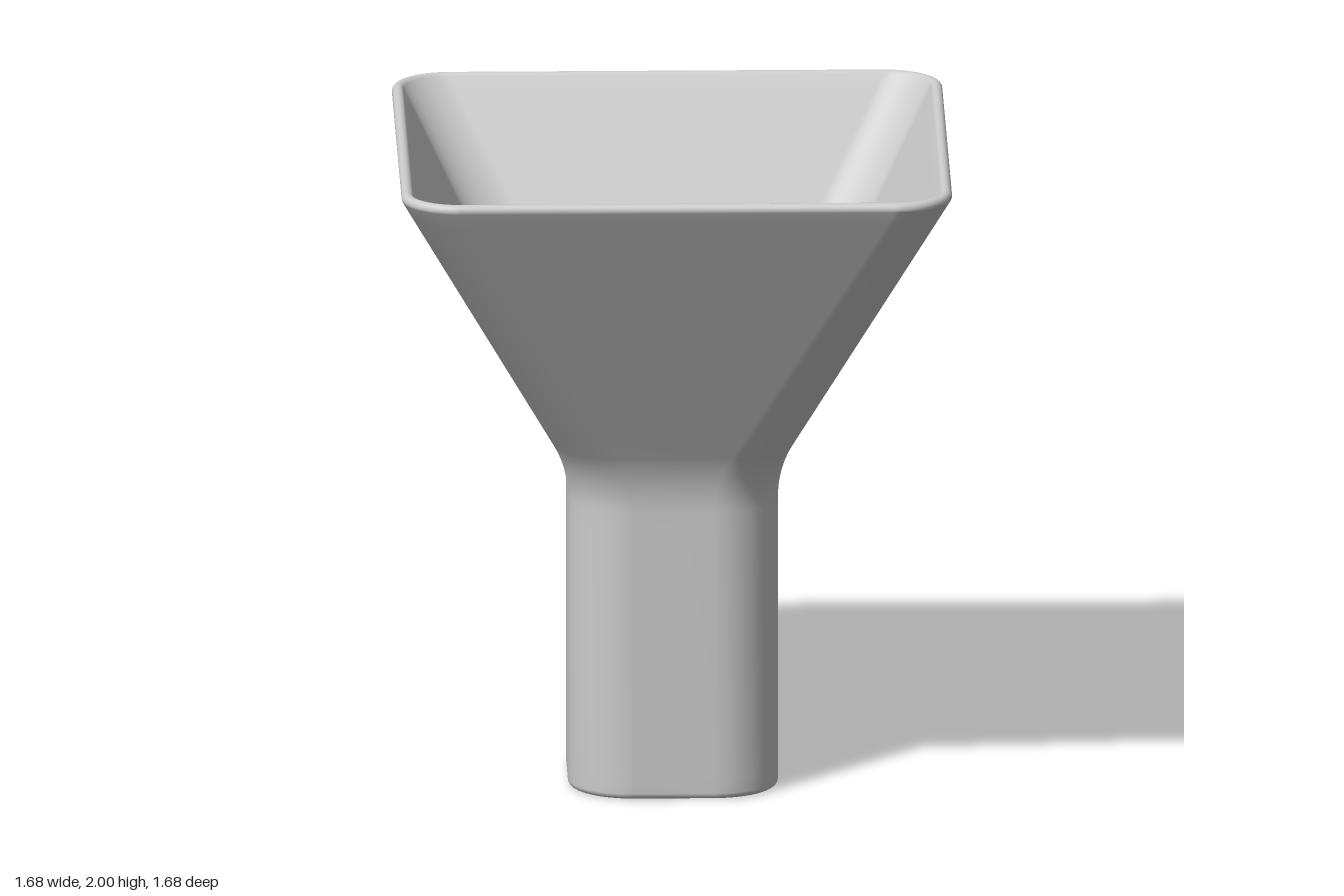
import * as THREE from 'three';

const HALF_WALL = 0.0185; // half the wall thickness
const CORNER_STEPS = 14;

// Centre line of the wall: half width, height and lean angle from vertical
function wallPath() {
  const path = [];
  const tubeHalf = 0.3015, bendY = 0.9, bendR = 0.4085, lean = 0.486;
  for (const y of [HALF_WALL, 0.06, 0.45, 0.85]) path.push({ m: tubeHalf, y, a: 0 });
  for (let i = 0; i <= 10; i++) {
    const a = (lean * i) / 10;
    path.push({ m: tubeHalf + bendR * (1 - Math.cos(a)), y: bendY + bendR * Math.sin(a), a });
  }
  const end = path[path.length - 1];
  for (const t of [0.06, 0.5, 0.95, 1]) {
    path.push({
      m: THREE.MathUtils.lerp(end.m, 0.82, t),
      y: THREE.MathUtils.lerp(end.y, 2 - HALF_WALL, t),
      a: lean,
    });
  }
  return path;
}

// Closed wall section: up the outside, round the rim, down the inside, round the foot
function wallSection() {
  const path = wallPath(), section = [];
  const add = (p, angle) => {
    const cornerR = 0.18 - 0.02 * Math.max(0, (p.y - 0.9) / 1.08);
    section.push({
      h: p.m + HALF_WALL * Math.cos(angle),
      y: p.y + HALF_WALL * Math.sin(angle),
      core: p.m - cornerR,
    });
  };
  const cap = (p, start) => {
    for (let i = 1; i < 8; i++) add(p, start + (Math.PI * i) / 8);
  };
  const last = path[path.length - 1];
  path.forEach((p) => add(p, -p.a));
  cap(last, -last.a);
  [...path].reverse().forEach((p) => add(p, Math.PI - p.a));
  cap(path[0], Math.PI);
  return section;
}

// Sweep the section round a square with rounded corners
function funnelGeometry() {
  const section = wallSection(), positions = [], indices = [];
  const ring = 4 * (CORNER_STEPS + 1), rows = section.length;
  for (const { h, y, core } of section) {
    for (let q = 0; q < 4; q++) {
      const mid = (q + 0.5) * Math.PI / 2;
      const cx = core * Math.sign(Math.cos(mid)), cz = core * Math.sign(Math.sin(mid));
      for (let k = 0; k <= CORNER_STEPS; k++) {
        const t = (q + k / CORNER_STEPS) * Math.PI / 2;
        positions.push(cx + (h - core) * Math.cos(t), y, cz + (h - core) * Math.sin(t));
      }
    }
  }
  for (let i = 0; i < rows; i++) {
    for (let j = 0; j < ring; j++) {
      const i2 = (i + 1) % rows, j2 = (j + 1) % ring;
      const a = i * ring + j, b = i2 * ring + j, c = i2 * ring + j2, d = i * ring + j2;
      indices.push(a, b, c, a, c, d);
    }
  }
  const geometry = new THREE.BufferGeometry();
  geometry.setAttribute('position', new THREE.Float32BufferAttribute(positions, 3));
  geometry.setIndex(indices);
  geometry.computeVertexNormals();
  return geometry;
}

export function createModel() {
  const group = new THREE.Group();
  group.name = 'squareFunnel';
  const funnel = new THREE.Mesh(
    funnelGeometry(),
    new THREE.MeshStandardMaterial({ color: 0xcccccc })
  );
  funnel.name = 'funnelWall';
  group.add(funnel);
  return group;
}
